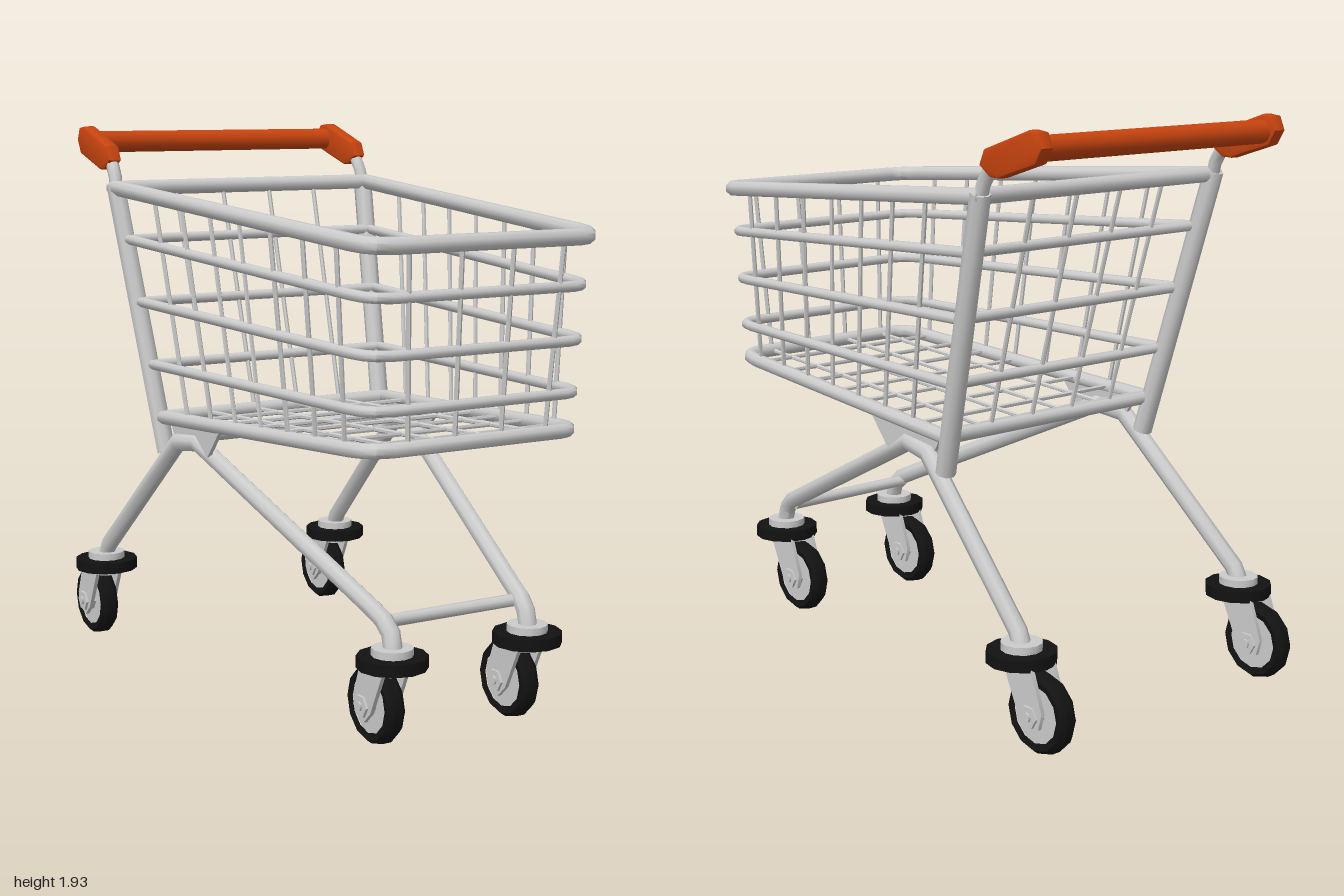
import * as THREE from 'three';
import { toCreasedNormals } from 'three/addons/utils/BufferGeometryUtils.js';

const grey = new THREE.MeshStandardMaterial({ color: 0xcccccc });
const black = new THREE.MeshStandardMaterial({ color: 0x121212 });
const orange = new THREE.MeshStandardMaterial({ color: 0xc8440f });
const V = (x, y, z) => new THREE.Vector3(x, y, z);
const lerp = THREE.MathUtils.lerp;

function add(parent, name, geometry, material = grey) {
  const mesh = new THREE.Mesh(geometry, material);
  mesh.name = name;
  parent.add(mesh);
  return mesh;
}

// Round tube along a polyline, with mitred corners and capped ends
function tube(pts, r, sides = 8, closed = false) {
  const n = pts.length, segs = closed ? n : n - 1;
  const dirs = [];
  for (let i = 0; i < segs; i++) dirs.push(pts[(i + 1) % n].clone().sub(pts[i]).normalize());
  const u = V(0, 1, 0).cross(dirs[0]);
  if (u.length() < 0.1) u.set(1, 0, 0);
  u.addScaledVector(dirs[0], -u.dot(dirs[0])).normalize();
  const v = dirs[0].clone().cross(u);
  let ring = [];
  for (let k = 0; k < sides; k++) {
    const a = (k + 0.5) / sides * Math.PI * 2;
    ring.push(pts[0].clone().addScaledVector(u, r * Math.cos(a)).addScaledVector(v, r * Math.sin(a)));
  }
  const pos = [], idx = [];
  for (let i = 0; i <= segs; i++) {
    const p = pts[i % n];
    const before = i > 0 ? dirs[i - 1] : closed ? dirs[segs - 1] : dirs[0];
    const after = i < segs ? dirs[i] : closed ? dirs[0] : dirs[segs - 1];
    const normal = before.clone().add(after);
    const d = i > 0 ? before : after;
    ring = ring.map(q => q.clone().addScaledVector(d, p.clone().sub(q).dot(normal) / d.dot(normal)));
    ring.forEach(q => pos.push(q.x, q.y, q.z));
    if (i === segs) break;
    for (let k = 0; k < sides; k++) {
      const a = i * sides + k, b = i * sides + (k + 1) % sides;
      idx.push(a, b, b + sides, a, b + sides, a + sides);
    }
  }
  if (!closed) {
    const e = segs * sides;
    for (let k = 1; k < sides - 1; k++) idx.push(0, k + 1, k, e, e + k, e + k + 1);
  }
  const g = new THREE.BufferGeometry();
  g.setAttribute('position', new THREE.Float32BufferAttribute(pos, 3));
  g.setIndex(idx);
  return toCreasedNormals(g, 0.9);
}

// Side-on outline of [z, y] points, given a thickness along x
function plate(points, width, bevel = 0) {
  const shape = new THREE.Shape(points.map(p => new THREE.Vector2(p[0], p[1])));
  const depth = width - 2 * bevel;
  const g = new THREE.ExtrudeGeometry(shape, {
    depth, bevelEnabled: bevel > 0, bevelSize: bevel, bevelOffset: -bevel, bevelThickness: bevel, bevelSegments: 2,
  });
  return toCreasedNormals(g.translate(0, 0, -depth / 2).rotateY(-Math.PI / 2), 0.7);
}

// Basket hoops: heights, depths and half widths at the front and back
const hoops = [
  { yf: 1.612, yb: 1.72, zf: 0.97, zb: -0.578, xf: 0.43, xb: 0.525, r: 0.028 },
  { yf: 1.455, yb: 1.54, zf: 0.955, zb: -0.525, xf: 0.42, xb: 0.51, r: 0.018 },
  { yf: 1.28, yb: 1.32, zf: 0.945, zb: -0.465, xf: 0.415, xb: 0.495, r: 0.018 },
  { yf: 1.11, yb: 1.10, zf: 0.935, zb: -0.405, xf: 0.41, xb: 0.48, r: 0.018 },
  { yf: 0.988, yb: 0.915, zf: 0.925, zb: -0.352, xf: 0.4, xb: 0.465, r: 0.025 },
];
const hoopY = (h, z) => lerp(h.yb, h.yf, (z - h.zb) / (h.zf - h.zb));
const hoopX = (h, z) => lerp(h.xb, h.xf, (z - h.zb) / (h.zf - 0.1 - h.zb));

function basket() {
  const g = new THREE.Group();
  g.name = 'basket';
  for (const h of hoops) {
    const half = [[h.xb, h.zb], [h.xf, h.zf - 0.1], [h.xf - 0.012, h.zf - 0.048],
      [h.xf - 0.038, h.zf - 0.016], [h.xf - 0.08, h.zf]];
    const loop = [...half, ...half.map(([x, z]) => [-x, z]).reverse()];
    add(g, 'basketHoop', tube(loop.map(([x, z]) => V(x, hoopY(h, z), z)), h.r, 8, true));
  }
  const top = hoops[0], low = hoops[4];
  // wires down one side, across the floor and up the other side
  for (let i = 0; i < 7; i++) {
    const zt = lerp(0.79, -0.31, i / 6), zl = lerp(0.79, -0.17, i / 6);
    const xt = hoopX(top, zt), xl = hoopX(low, zl), yt = hoopY(top, zt), yl = hoopY(low, zl);
    add(g, 'crossWire', tube([V(xt, yt, zt), V(xl, yl, zl), V(-xl, yl, zl), V(-xt, yt, zt)], 0.008, 6));
  }
  // wires down the back, along the floor and up the front
  for (const x of [-0.29, -0.097, 0.097, 0.29]) {
    add(g, 'lengthWire', tube([V(x, top.yb, top.zb), V(x * 0.94, low.yb, low.zb),
      V(x * 0.9, low.yf, low.zf), V(x, top.yf, top.zf)], 0.008, 6));
  }
  return g;
}

// Swivel caster; its pivot is at the local origin, with the wheel trailing behind
function caster(name, x, z) {
  const g = new THREE.Group();
  g.name = name;
  g.position.set(x, 0, z);
  const disc = (part, r, h, y, mat) =>
    add(g, part, toCreasedNormals(new THREE.CylinderGeometry(r, r, h, 12), 0.7), mat).translateY(y);
  disc('casterCap', 0.068, 0.03, 0.328, grey);
  disc('casterBumper', 0.115, 0.04, 0.298, black);
  disc('casterNeck', 0.05, 0.03, 0.272, grey);
  const fork = [[0.035, 0.29], [-0.1, 0.29], [-0.15, 0.155], [-0.135, 0.1], [-0.085, 0.08], [-0.045, 0.12]];
  for (const s of [-1, 1]) add(g, 'fork', plate(fork, 0.014)).position.x = s * 0.046;

  const wheel = new THREE.Group();
  wheel.name = 'wheel';
  wheel.position.set(0, 0.134, -0.095);
  wheel.rotation.z = Math.PI / 2;
  const profile = [[0.095, -0.028], [0.118, -0.034], [0.132, -0.016], [0.132, 0.016], [0.118, 0.034], [0.095, 0.028]];
  add(wheel, 'tyre', toCreasedNormals(new THREE.LatheGeometry(profile.map(p => new THREE.Vector2(...p)), 12), 0.6), black);
  const round = (part, r, h, n) => add(wheel, part, toCreasedNormals(new THREE.CylinderGeometry(r, r, h, n), 0.9));
  round('hub', 0.1, 0.044, 12);
  round('axleNut', 0.038, 0.124, 6);
  round('axleBolt', 0.016, 0.138, 8);
  g.add(wheel);
  return g;
}

export function createModel() {
  const model = new THREE.Group();
  model.name = 'shoppingCart';
  model.add(basket());

  // Side frames, mirrored
  const grip = [[-0.603, 1.818], [-0.625, 1.868], [-0.825, 1.936], [-0.865, 1.931], [-0.885, 1.885],
    [-0.857, 1.836], [-0.69, 1.783], [-0.65, 1.785]];
  const gusset = [[0.065, 0.93], [-0.03, 0.82], [-0.13, 0.85], [-0.28, 0.85], [-0.32, 0.92]];
  for (const s of [-1, 1]) {
    const side = s > 0 ? 'left' : 'right';
    add(model, side + 'Post', tube([V(s * 0.457, 0.79, -0.342), V(s * 0.523, 1.73, -0.592)], 0.034));
    add(model, side + 'PostNeck', tube([V(s * 0.521, 1.7, -0.585), V(s * 0.519, 1.76, -0.602),
      V(s * 0.517, 1.805, -0.63), V(s * 0.517, 1.835, -0.69)], 0.0235));
    add(model, side + 'Leg', tube([V(s * 0.263, 0.33, 0.855), V(s * 0.263, 0.385, 0.84), V(s * 0.267, 0.42, 0.805),
      V(s * 0.275, 0.447, 0.75), V(s * 0.44, 0.855, -0.13), V(s * 0.455, 0.84, -0.25),
      V(s * 0.505, 0.37, -0.75), V(s * 0.507, 0.33, -0.77)], 0.031));
    add(model, side + 'Gusset', plate(gusset, 0.014)).position.x = s * 0.447;
    add(model, side + 'HandleGrip', plate(grip, 0.052, 0.01), orange).position.x = s * 0.517;
    model.add(caster(side + 'FrontCaster', s * 0.263, 0.85), caster(side + 'RearCaster', s * 0.507, -0.77));
  }

  // Bars joining the two sides
  const bar = (name, x, y, z, r, sides, mat) => add(model, name, tube([V(-x, y, z), V(x, y, z)], r, sides), mat);
  bar('handleBar', 0.515, 1.879, -0.824, 0.04, 12, orange);
  bar('frontCrossBar', 0.265, 0.41, 0.79, 0.021, 8);
  bar('underBasketBar', 0.44, 0.868, -0.195, 0.026, 8);
  return model;
}
